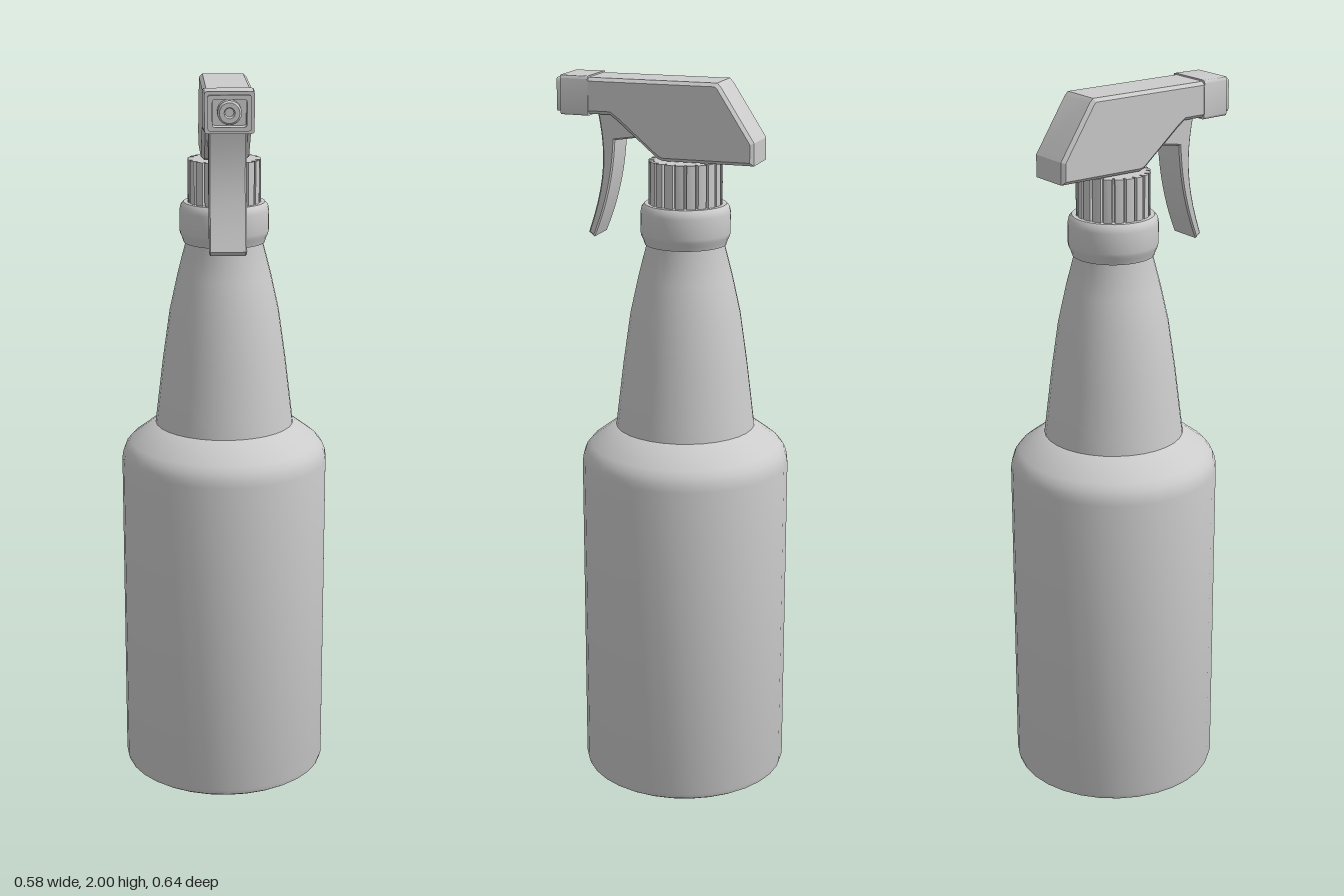
import * as THREE from 'three';
import { toCreasedNormals } from 'three/addons/utils/BufferGeometryUtils.js';

const AXIS_Z = -0.03; // bottle axis, set back because the nozzle overhangs in front
const material = new THREE.MeshStandardMaterial({ color: 0xcccccc });

function part(name, geometry, crease = 0.6) {
  const mesh = new THREE.Mesh(toCreasedNormals(geometry, crease), material);
  mesh.name = name;
  return mesh;
}

function lathe(name, profile, segments = 32) {
  const mesh = part(name, new THREE.LatheGeometry(profile.map(([r, y]) => new THREE.Vector2(r, y)), segments));
  mesh.position.z = AXIS_Z;
  return mesh;
}

// Side outline in (z, y), extruded across x with inset bevels
function sideExtrude(name, shape, width, bevel) {
  const geometry = new THREE.ExtrudeGeometry(shape, {
    depth: width - 2 * bevel, bevelEnabled: true, bevelThickness: bevel,
    bevelSize: bevel, bevelOffset: -bevel, bevelSegments: 1, curveSegments: 10,
  });
  geometry.translate(0, 0, -(width - 2 * bevel) / 2);
  geometry.rotateY(-Math.PI / 2);
  return part(name, geometry, 0.4);
}

function roundedRect(target, w, h, r) {
  const x = w / 2, y = h / 2;
  target.moveTo(-x + r, -y);
  target.lineTo(x - r, -y).quadraticCurveTo(x, -y, x, -y + r);
  target.lineTo(x, y - r).quadraticCurveTo(x, y, x - r, y);
  target.lineTo(-x + r, y).quadraticCurveTo(-x, y, -x, y - r);
  target.lineTo(-x, -y + r).quadraticCurveTo(-x, -y, -x + r, -y);
  return target;
}

// Rectangular ring facing forward, from z0 to z1
function frame(name, w, h, holeW, holeH, z0, z1, taper) {
  const shape = roundedRect(new THREE.Shape(), w, h, 0.008);
  shape.holes.push(roundedRect(new THREE.Path(), holeW, holeH, 0.008));
  const geometry = new THREE.ExtrudeGeometry(shape, { depth: z1 - z0, bevelEnabled: false, curveSegments: 3 });
  const p = geometry.attributes.position;
  for (let i = 0; i < p.count; i++) {
    if (p.getZ(i) > 0.001) p.setX(i, p.getX(i) * taper);
  }
  geometry.translate(0, 1.947, z0);
  return part(name, geometry);
}

// Gear-like outline for the ribbed cap
function ribbedCap() {
  const teeth = 20, shape = new THREE.Shape();
  for (let i = 0; i < teeth; i++) {
    [[0.08, 0.086], [0.12, 0.1], [0.5, 0.101], [0.88, 0.1], [0.92, 0.086]].forEach(([t, r], k) => {
      const a = ((i + t) / teeth) * Math.PI * 2;
      const x = r * Math.cos(a), y = r * Math.sin(a);
      if (i + k === 0) shape.moveTo(x, y);
      else shape.lineTo(x, y);
    });
  }
  shape.closePath();
  const geometry = new THREE.ExtrudeGeometry(shape, { depth: 0.125, bevelEnabled: false });
  geometry.rotateX(-Math.PI / 2);
  geometry.translate(0, 1.655, AXIS_Z);
  return part('ribbedCap', geometry, 0.4);
}

export function createModel() {
  const group = new THREE.Group();

  // Bottle: body with rounded shoulder, then tapering neck
  group.add(lathe('bottleBody', [
    [0, 0], [0.277, 0], [0.286, 0.006], [0.29, 0.02], [0.29, 0.93], [0.287, 0.95],
    [0.28, 0.968], [0.266, 0.985], [0.2, 1.035], [0.19, 1.038], [0, 1.038],
  ]));
  group.add(lathe('bottleNeck', [
    [0.195, 1.03], [0.189, 1.08], [0.172, 1.22], [0.152, 1.36], [0.13, 1.46], [0.107, 1.55], [0.107, 1.57],
  ]));

  // Collar and ribbed cap
  group.add(lathe('collar', [
    [0, 1.552], [0.112, 1.552], [0.116, 1.565], [0.121, 1.575], [0.123, 1.585],
    [0.123, 1.64], [0.12, 1.654], [0.112, 1.663], [0, 1.663],
  ]));
  group.add(ribbedCap());

  // Spray head housing
  const head = new THREE.Shape([
    [0.235, 1.996], [0.235, 1.899], [0.165, 1.899], [0.145, 1.885], [0.03, 1.788],
    [0.015, 1.783], [-0.238, 1.783], [-0.238, 1.843], [-0.145, 1.986], [-0.135, 1.996],
  ].map(([z, y]) => new THREE.Vector2(z, y)));
  group.add(sideExtrude('sprayHead', head, 0.13, 0.009));

  // Curved trigger with its rear stub
  const lever = new THREE.Shape();
  lever.moveTo(0.205, 1.91);
  lever.bezierCurveTo(0.182, 1.8, 0.182, 1.72, 0.234, 1.575);
  lever.lineTo(0.218, 1.562);
  lever.bezierCurveTo(0.18, 1.65, 0.16, 1.74, 0.156, 1.83);
  lever.lineTo(0.09, 1.84);
  lever.lineTo(0.09, 1.87);
  lever.lineTo(0.15, 1.91);
  lever.closePath();
  group.add(sideExtrude('trigger', lever, 0.1, 0.004));

  // Nozzle: tapered block, inner lip, recess floor and spout
  const nozzle = new THREE.Group();
  nozzle.name = 'nozzle';
  nozzle.add(frame('nozzleBlock', 0.134, 0.106, 0.09, 0.074, 0.225, 0.305, 0.95));
  nozzle.add(frame('nozzleLip', 0.112, 0.09, 0.088, 0.07, 0.26, 0.318, 1));
  const floor = part('recessFloor', new THREE.BoxGeometry(0.1, 0.082, 0.04));
  floor.position.set(0, 1.947, 0.26);
  nozzle.add(floor);
  const spout = part('spout', new THREE.LatheGeometry([
    [0.031, 0], [0.031, 0.03], [0.026, 0.036], [0.014, 0.036], [0.011, 0.022], [0, 0.022],
  ].map(([r, y]) => new THREE.Vector2(r, y)), 20));
  spout.rotation.x = Math.PI / 2;
  spout.position.set(0, 1.947, 0.278);
  nozzle.add(spout);
  group.add(nozzle);

  return group;
}
